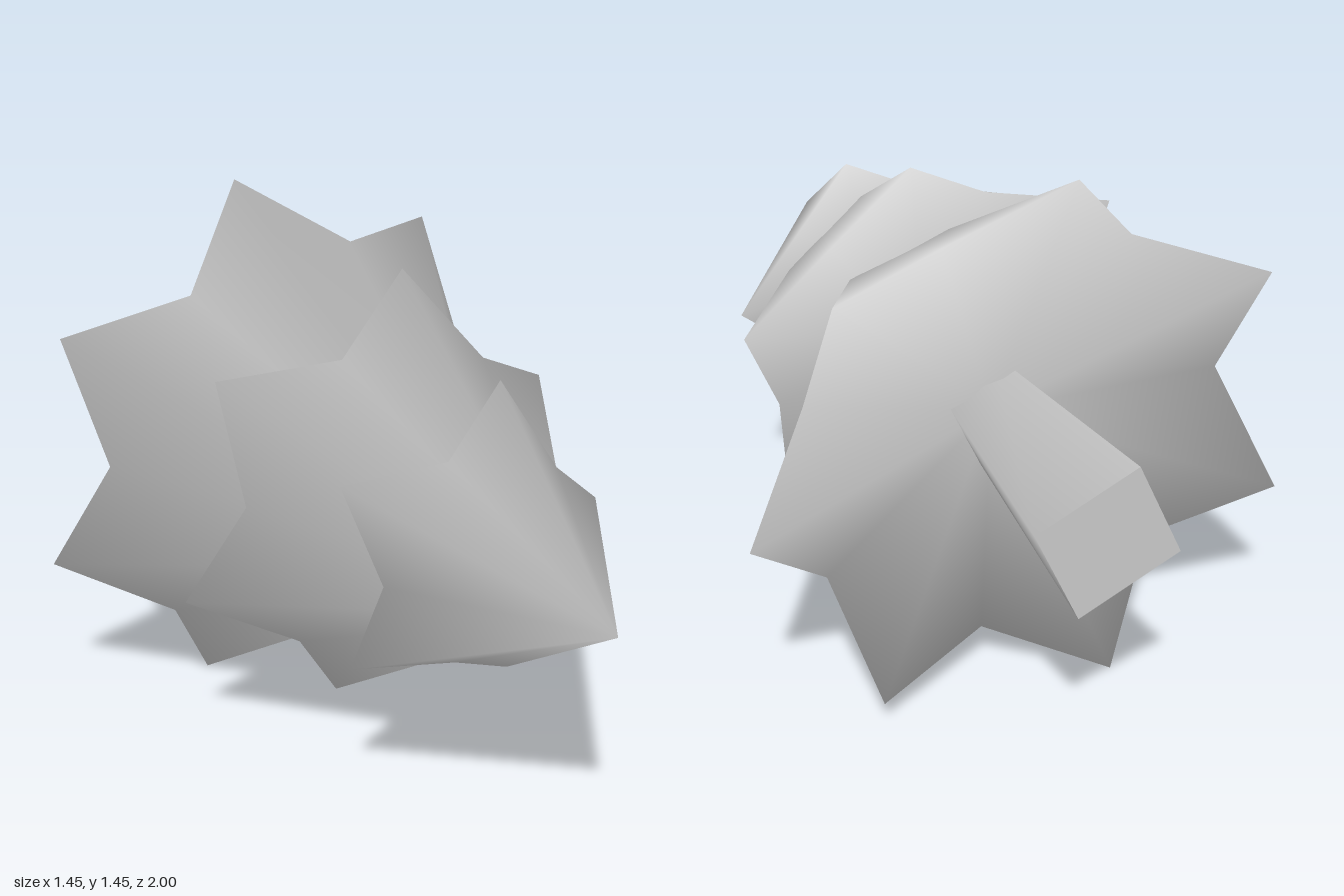
import * as THREE from 'three';

const grey = new THREE.MeshStandardMaterial({ color: 0xcccccc });
grey.name = 'plain grey';

// Smooth normals weighted by corner angle, so long thin faces do not dominate
function smoothNormals(geo) {
  const p = geo.attributes.position, idx = geo.index.array;
  const n = Array.from({ length: p.count }, () => new THREE.Vector3());
  for (let i = 0; i < idx.length; i += 3) {
    const ids = [idx[i], idx[i + 1], idx[i + 2]];
    const v = ids.map(k => new THREE.Vector3().fromBufferAttribute(p, k));
    const face = new THREE.Triangle(...v).getNormal(new THREE.Vector3());
    for (let c = 0; c < 3; c++) {
      const a = v[(c + 1) % 3].clone().sub(v[c]), b = v[(c + 2) % 3].clone().sub(v[c]);
      n[ids[c]].addScaledVector(face, a.angleTo(b));
    }
  }
  const out = [];
  n.forEach(v => out.push(...v.normalize().toArray()));
  geo.setAttribute('normal', new THREE.Float32BufferAttribute(out, 3));
}

// Star-edged cone with a hollowed underside; tips droop behind the valleys
function branchTier({ points, angle, apex, tipR, tipZ, valleyR, valleyZ, hollowZ }) {
  const pos = [0, 0, apex, 0, 0, hollowZ], index = [];
  const count = points * 2;
  for (let i = 0; i < count; i++) {
    const a = THREE.MathUtils.degToRad(angle) + (i / count) * Math.PI * 2;
    const r = i % 2 ? valleyR : tipR;
    pos.push(Math.cos(a) * r, Math.sin(a) * r, i % 2 ? valleyZ : tipZ);
    const here = 2 + i, next = 2 + (i + 1) % count;
    index.push(0, here, next, 1, next, here);
  }
  const geo = new THREE.BufferGeometry();
  geo.setAttribute('position', new THREE.Float32BufferAttribute(pos, 3));
  geo.setIndex(index);
  smoothNormals(geo);
  return new THREE.Mesh(geo, grey);
}

export function createModel() {
  const model = new THREE.Group();
  model.name = 'lyingPineTree';

  // The tree lies along z with its tip at the origin of this tilted group
  const tree = new THREE.Group();
  tree.name = 'tree';
  tree.position.set(0, 0.75, 1);
  const axis = new THREE.Vector3(0.0138, 0.0219, 1).normalize();
  tree.quaternion.setFromUnitVectors(new THREE.Vector3(0, 0, 1), axis);
  model.add(tree);

  // Three tiers of branches, from the tip to the base
  const tiers = [
    { name: 'topBranches', points: 5, angle: 74, apex: 0, tipR: 0.432, tipZ: -0.64, valleyR: 0.295, valleyZ: -0.55, hollowZ: -0.49 },
    { name: 'middleBranches', points: 6, angle: 78.8, apex: -0.13, tipR: 0.602, tipZ: -1.08, valleyR: 0.45, valleyZ: -0.965, hollowZ: -0.88 },
    { name: 'lowerBranches', points: 7, angle: 96.7, apex: -0.44, tipR: 0.75, tipZ: -1.6, valleyR: 0.587, valleyZ: -1.455, hollowZ: -1.34 },
  ];
  for (const t of tiers) {
    const mesh = branchTier(t);
    mesh.name = t.name;
    tree.add(mesh);
  }

  // Four-sided trunk, wider at the foot
  const trunkGeo = new THREE.CylinderGeometry(0.12, 0.207, 0.745, 4, 1, false, 0.35);
  trunkGeo.rotateX(Math.PI / 2);
  const trunk = new THREE.Mesh(trunkGeo, grey);
  trunk.name = 'trunk';
  trunk.position.z = -1.6225;
  tree.add(trunk);

  return model;
}
